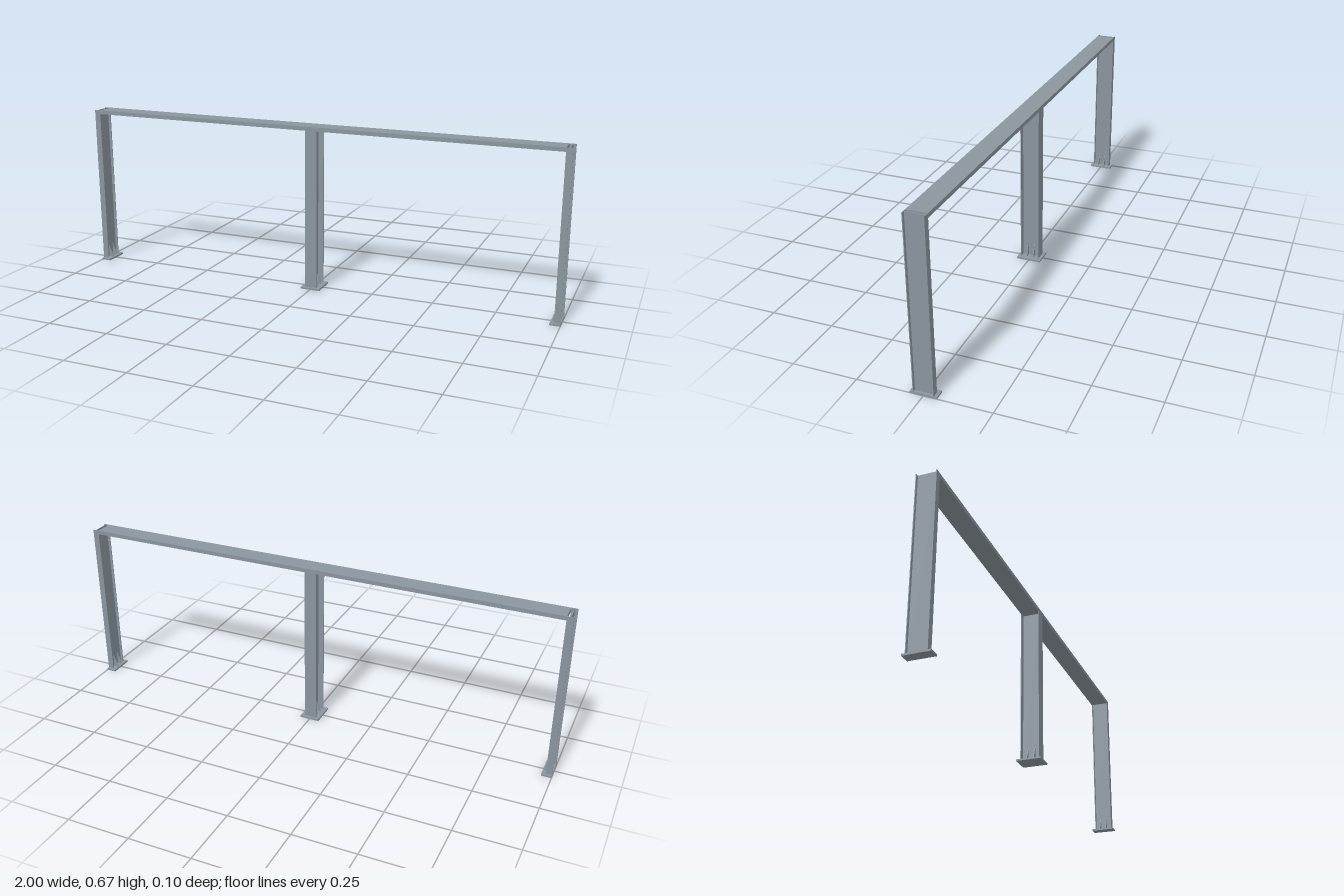
import * as THREE from 'three';

const TOP = 0.668, PLATE = 0.007, HALF_Z = 0.0385, SKIN = 0.003, BEAM_H = 0.016;

export function createModel() {
  const model = new THREE.Group();
  const steel = new THREE.MeshStandardMaterial({ color: 0x8a959e });
  steel.name = 'blue grey steel';

  function box(parent, name, w, h, d, x, y, z) {
    const mesh = new THREE.Mesh(new THREE.BoxGeometry(w, h, d), steel);
    mesh.name = name;
    mesh.position.set(x, y, z);
    parent.add(mesh);
  }

  // Triangular rib standing on the base plate against the web
  function gusset(parent, x, z, side, reach) {
    const shape = new THREE.Shape([
      new THREE.Vector2(0, 0), new THREE.Vector2(reach, 0), new THREE.Vector2(0, 0.055),
    ]);
    const geo = new THREE.ExtrudeGeometry(shape, { depth: SKIN, bevelEnabled: false });
    geo.translate(0, 0, -SKIN / 2);
    const mesh = new THREE.Mesh(geo, steel);
    mesh.name = 'baseGusset';
    mesh.rotation.y = side < 0 ? Math.PI : 0;
    mesh.position.set(x + side * SKIN / 2, PLATE, z);
    parent.add(mesh);
  }

  // H-section post: two flanges, a web, a base plate and ribs
  function post(name, x, width, top, plateX, plateWidth, ribSides) {
    const group = new THREE.Group();
    group.name = name;
    const h = top - PLATE, y = PLATE + h / 2;
    for (const s of [-1, 1]) box(group, 'flange', width, h, SKIN, x, y, s * (HALF_Z - SKIN / 2));
    box(group, 'web', SKIN, h, 2 * (HALF_Z - SKIN), x, y, 0);
    box(group, 'basePlate', plateWidth, PLATE, 0.1, plateX, PLATE / 2, 0);
    for (const side of ribSides)
      for (const z of [-0.014, 0.014]) gusset(group, x, z, side, 0.022);
    model.add(group);
  }

  post('centrePost', 0, 0.05, TOP - BEAM_H, 0, 0.08, [-1, 1]);
  // End posts are half as wide, with ribs on the inner side only
  for (const s of [-1, 1])
    post(s > 0 ? 'leftPost' : 'rightPost', s * 0.9875, 0.025, TOP, s * 0.98, 0.04, [-s]);

  // Beam between the end posts
  box(model, 'topBeam', 1.95, BEAM_H, 2 * HALF_Z, 0, TOP - BEAM_H / 2, 0);
  return model;
}
